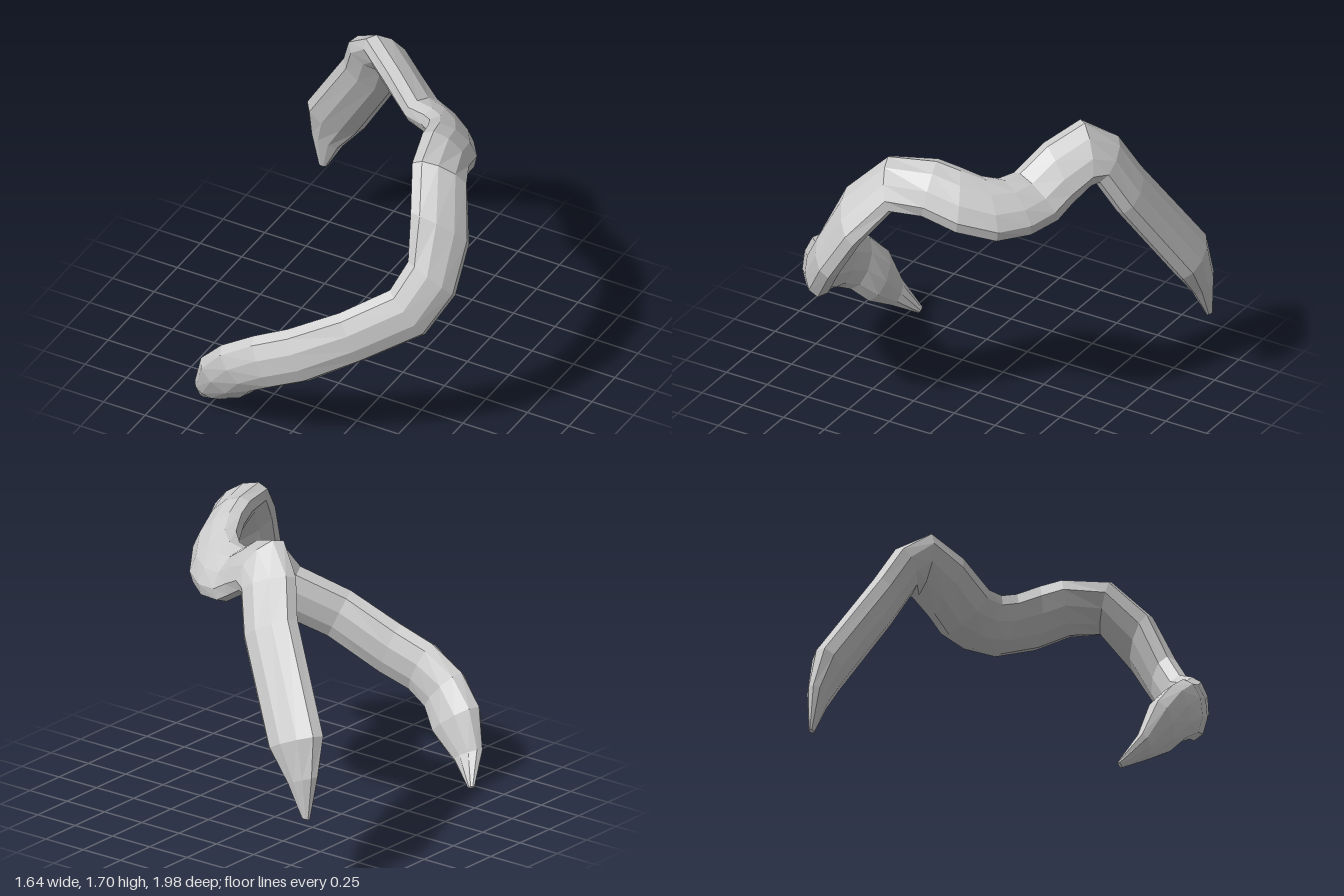
import * as THREE from 'three';

const SIDES = 10;

// Opposite edges of the flattened limb at each bend: [ax, ay, az, bx, by, bz]
const BENDS = [
  // back leg, tip to shoulder
  [-0.79, 0.40, -0.96, -0.74, 0.40, -0.96],
  [-0.82, 0.64, -0.93, -0.64, 0.57, -0.95],
  [-0.81, 0.85, -0.87, -0.51, 0.73, -0.95],
  [-0.48, 1.37, -0.67, -0.20, 1.23, -0.77],
  [-0.40, 1.56, -0.58, -0.11, 1.44, -0.68],
  // shoulder and dip
  [-0.24, 1.70, -0.48, -0.07, 1.43, -0.65],
  [-0.05, 1.62, -0.37, 0.04, 1.36, -0.60],
  [0.12, 1.50, -0.29, 0.14, 1.30, -0.57],
  [0.23, 1.51, -0.26, 0.30, 1.27, -0.50],
  [0.30, 1.54, -0.20, 0.45, 1.27, -0.38],
  // arch to the front
  [0.35, 1.59, -0.09, 0.57, 1.33, -0.20],
  [0.38, 1.62, 0.02, 0.62, 1.40, -0.02],
  [0.45, 1.60, 0.26, 0.71, 1.43, 0.13],
  [0.54, 1.42, 0.44, 0.81, 1.22, 0.29],
  [0.58, 1.18, 0.54, 0.81, 0.98, 0.44],
  // front leg down to its tip
  [0.52, 1.03, 0.63, 0.70, 0.77, 0.57],
  [0.30, 0.90, 0.78, 0.43, 0.62, 0.75],
  [0.03, 0.75, 0.86, 0.15, 0.45, 0.85],
  [-0.15, 0.67, 0.90, -0.02, 0.38, 0.89],
  [-0.34, 0.55, 0.91, -0.14, 0.31, 0.87],
  [-0.48, 0.40, 0.88, -0.23, 0.21, 0.81],
  [-0.55, 0.19, 0.82, -0.40, 0.11, 0.77],
  [-0.59, 0.03, 0.70, -0.55, 0.01, 0.70],
];

// Skin elliptical cross-sections into one closed bent limb
function limbGeometry(bends) {
  const rings = bends.map((e) => {
    const a = new THREE.Vector3().fromArray(e), b = new THREE.Vector3().fromArray(e, 3);
    return { centre: a.clone().lerp(b, 0.5), half: b.sub(a).multiplyScalar(0.5) };
  });
  const pos = [], index = [], last = rings.length - 1;
  rings.forEach(({ centre, half }, i) => {
    const along = rings[Math.min(i + 1, last)].centre.clone().sub(rings[Math.max(i - 1, 0)].centre);
    // half thickness is capped, and shrinks with the width at the tips
    const thick = along.cross(half).setLength(Math.min(0.088, 0.55 * half.length()));
    for (let j = 0; j < SIDES; j++) {
      const t = (j / SIDES) * Math.PI * 2;
      const p = centre.clone().addScaledVector(half, Math.cos(t)).addScaledVector(thick, Math.sin(t));
      pos.push(p.x, p.y, p.z);
    }
  });
  const id = (i, j) => i * SIDES + (j % SIDES);
  for (let i = 0; i < last; i++) {
    for (let j = 0; j < SIDES; j++) {
      index.push(id(i, j), id(i, j + 1), id(i + 1, j + 1), id(i, j), id(i + 1, j + 1), id(i + 1, j));
    }
  }
  // tip caps
  for (let j = 1; j < SIDES - 1; j++) {
    index.push(id(0, 0), id(0, j + 1), id(0, j), id(last, 0), id(last, j), id(last, j + 1));
  }
  const g = new THREE.BufferGeometry();
  g.setAttribute('position', new THREE.Float32BufferAttribute(pos, 3));
  g.setIndex(index);
  g.computeVertexNormals();
  return g;
}

export function createModel() {
  const group = new THREE.Group();
  group.name = 'bentLimb';
  const material = new THREE.MeshStandardMaterial({ color: 0xcccccc, flatShading: true });
  const limb = new THREE.Mesh(limbGeometry(BENDS), material);
  limb.name = 'taperedLimb';
  group.add(limb);
  return group;
}
